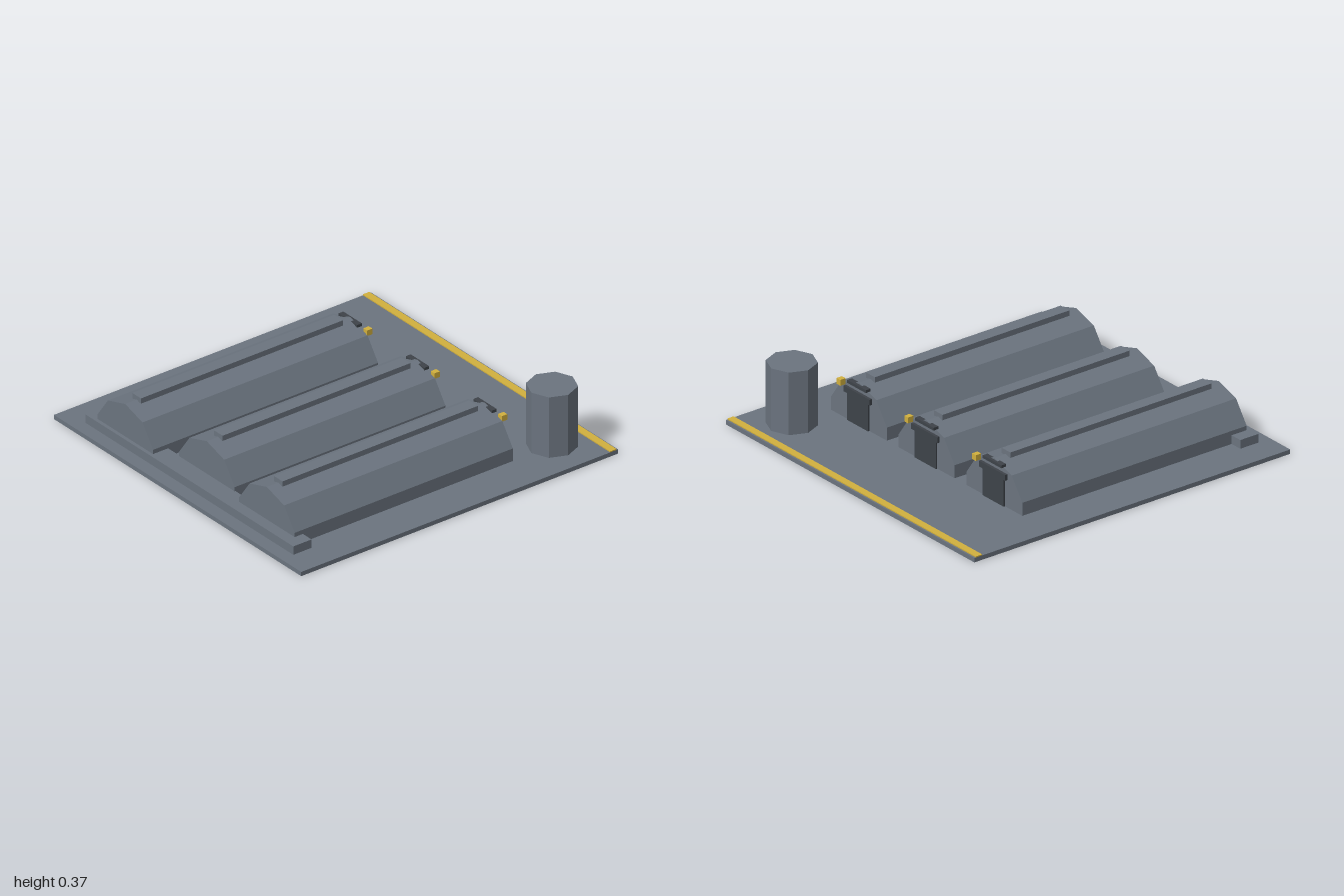
import * as THREE from 'three';

const material = (name, color) => {
  const m = new THREE.MeshStandardMaterial({ color });
  m.name = name;
  return m;
};

export function createModel() {
  const grey = material('slate grey', 0x6b747f);
  const dark = material('dark grey', 0x3e4349);
  const yellow = material('marking yellow', 0xd2b03e);
  const model = new THREE.Group();
  model.name = 'hangarYard';

  // Box given by its lower and upper limits on each axis
  const box = (name, mat, [x0, x1], [y0, y1], [z0, z1], parent = model) => {
    const mesh = new THREE.Mesh(new THREE.BoxGeometry(x1 - x0, y1 - y0, z1 - z0), mat);
    mesh.position.set((x0 + x1) / 2, (y0 + y1) / 2, (z0 + z1) / 2);
    mesh.name = name;
    parent.add(mesh);
  };

  // Ground slab, painted edge line and front plinth
  box('groundSlab', grey, [-1, 1], [0, 0.024], [-1, 1]);
  box('edgeStripe', yellow, [-1, 1], [0.024, 0.03], [-0.99, -0.95]);
  box('frontPlinth', grey, [-0.84, 0.84], [0.024, 0.072], [0.81, 0.925]);

  // Eight-sided tank
  const tank = new THREE.Mesh(new THREE.CylinderGeometry(0.131, 0.131, 0.346, 8).toNonIndexed(), grey);
  tank.geometry.computeVertexNormals();
  tank.position.set(0.763, 0.197, -0.768);
  tank.name = 'tank';
  model.add(tank);

  // Faceted shed cross-section
  const profile = new THREE.Shape([
    [-0.225, 0.024], [0.225, 0.024], [0.225, 0.096], [0.14, 0.215],
    [0, 0.258], [-0.14, 0.215], [-0.225, 0.096],
  ].map(([x, y]) => new THREE.Vector2(x, y)));

  // Three sheds of different lengths
  const back = -0.515;
  for (const [x, front] of [[-0.545, 0.905], [0, 0.815], [0.545, 0.862]]) {
    const shed = new THREE.Group();
    shed.name = 'shed';
    shed.position.x = x;
    model.add(shed);

    const shell = new THREE.Mesh(
      new THREE.ExtrudeGeometry(profile, { depth: front - back, bevelEnabled: false }), grey);
    shell.position.z = back;
    shell.name = 'shedShell';
    shed.add(shell);

    box('ridgeVent', grey, [-0.035, 0.035], [0.25, 0.28], [back + 0.073, front - 0.072], shed);
    // Rear doorway with lintel, hood and lamp
    box('rearDoor', dark, [-0.085, 0.085], [0.024, 0.18], [-0.524, back], shed);
    box('doorLintel', dark, [-0.105, 0.105], [0.176, 0.208], [-0.53, back], shed);
    box('doorHood', dark, [-0.075, 0.075], [0.234, 0.25], [-0.53, -0.5], shed);
    box('doorLamp', yellow, [0.108, 0.138], [0.21, 0.242], [-0.548, -0.514], shed);
  }
  return model;
}
